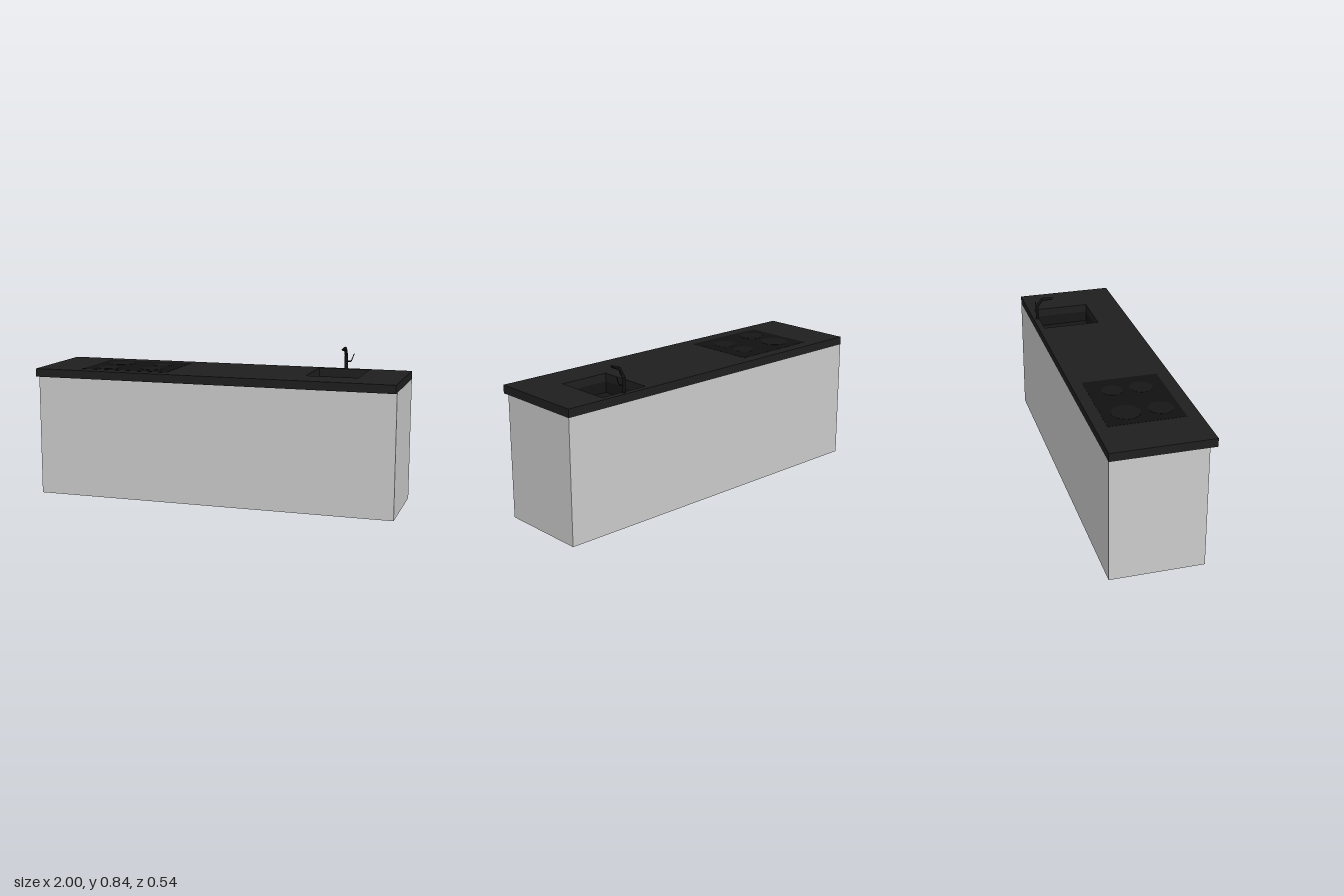
import * as THREE from 'three';

const BASE_H = 0.67, TOP_H = 0.715;

const grey = () => new THREE.MeshStandardMaterial({ color: 0xcccccc });
const paint = (color) => new THREE.MeshStandardMaterial({ color });

function add(parent, name, geometry, material, x = 0, y = 0, z = 0) {
  const mesh = new THREE.Mesh(geometry, material);
  mesh.name = name;
  mesh.position.set(x, y, z);
  parent.add(mesh);
  return mesh;
}

// Box without its top face
function openBox(w, h, d) {
  const g = new THREE.BoxGeometry(w, h, d);
  const index = Array.from(g.index.array);
  index.splice(12, 6);
  g.setIndex(index);
  g.clearGroups();
  return g;
}

// Rectangle outline on the ground plane (shape y is -z)
function rectangle(path, x0, x1, z0, z1) {
  path.moveTo(x0, -z1);
  path.lineTo(x1, -z1);
  path.lineTo(x1, -z0);
  path.lineTo(x0, -z0);
  path.closePath();
  return path;
}

// Pipe with mitred bends: each section is [outer z, outer y, inner z, inner y]
function mitredPipe(sections, radius, sides) {
  const positions = [], index = [], last = sections.length - 1;
  for (const [oz, oy, iz, iy] of sections) {
    for (let i = 0; i < sides; i++) {
      const a = ((i + 0.5) / sides) * Math.PI * 2, c = Math.cos(a) / 2;
      positions.push(radius * Math.sin(a), (oy + iy) / 2 + (oy - iy) * c, (oz + iz) / 2 + (oz - iz) * c);
    }
  }
  for (let s = 0; s < last; s++) {
    for (let i = 0; i < sides; i++) {
      const j = (i + 1) % sides, a = s * sides, b = a + sides;
      index.push(a + i, b + i, a + j, a + j, b + i, b + j);
    }
  }
  for (let i = 1; i < sides - 1; i++) {
    index.push(0, i, i + 1);
    index.push(last * sides, last * sides + i + 1, last * sides + i);
  }
  const g = new THREE.BufferGeometry();
  g.setAttribute('position', new THREE.Float32BufferAttribute(positions, 3));
  g.setIndex(index);
  g.computeVertexNormals();
  return g;
}

// Thin rod between two points
function rod(from, to, radius) {
  return new THREE.TubeGeometry(new THREE.LineCurve3(from, to), 1, radius, 8);
}

export function createModel() {
  const model = new THREE.Group();
  model.name = 'kitchenIsland';
  const stone = paint(0x1f1f1f), black = paint(0x111111);

  // Cabinet body, flush at the back and set in at the front
  add(model, 'cabinet', openBox(2, BASE_H, 0.5), grey(), 0, BASE_H / 2, -0.02);

  // Worktop with the sink cut-out
  const sink = { x0: 0.49, x1: 0.77, z0: -0.237, z1: 0.08 };
  const outline = rectangle(new THREE.Shape(), -1, 1, -0.27, 0.27);
  outline.holes.push(rectangle(new THREE.Path(), sink.x0, sink.x1, sink.z0, sink.z1));
  const top = new THREE.ExtrudeGeometry(outline, { depth: TOP_H - BASE_H, bevelEnabled: false });
  top.rotateX(-Math.PI / 2);
  add(model, 'worktop', top, stone, 0, BASE_H, 0);

  // Sink basin hung below the worktop
  const basinMaterial = paint(0x161616);
  basinMaterial.side = THREE.DoubleSide;
  const basinDepth = 0.06;
  add(model, 'sinkBasin', openBox(sink.x1 - sink.x0, basinDepth, sink.z1 - sink.z0), basinMaterial,
    (sink.x0 + sink.x1) / 2, BASE_H - basinDepth / 2, (sink.z0 + sink.z1) / 2);

  // Hob plate with four cooking zones
  const hob = new THREE.Group();
  hob.name = 'hob';
  hob.position.y = TOP_H;
  model.add(hob);
  add(hob, 'hobPlate', new THREE.BoxGeometry(0.496, 0.002, 0.406), black, -0.503, 0, -0.004);
  const zoneMaterial = paint(0x161616);
  for (const [x, z, r] of [[-0.63, -0.08, 0.076], [-0.63, 0.103, 0.066], [-0.383, -0.08, 0.056], [-0.383, 0.075, 0.062]]) {
    add(hob, 'cookingZone', new THREE.CylinderGeometry(r, r, 0.002, 40), zoneMaterial, x, 0.001, z);
  }

  // Tap with angled spout and side lever
  const tap = new THREE.Group();
  tap.name = 'tap';
  tap.position.x = 0.639;
  model.add(tap);
  const tapMaterial = paint(0x111111);
  tapMaterial.side = THREE.DoubleSide;
  tapMaterial.flatShading = true;
  add(tap, 'spout', mitredPipe([
    [-0.255, 0.71, -0.238, 0.71],
    [-0.255, 0.796, -0.238, 0.79],
    [-0.217, 0.841, -0.212, 0.824],
    [-0.152, 0.837, -0.164, 0.823],
  ], 0.009, 12), tapMaterial);
  const elbow = new THREE.Vector3(0.027, 0.757, -0.246);
  add(tap, 'leverArm', rod(new THREE.Vector3(0, 0.757, -0.246), elbow, 0.004), tapMaterial);
  add(tap, 'lever', rod(elbow, new THREE.Vector3(0.044, 0.8, -0.246), 0.0025), tapMaterial);

  return model;
}
